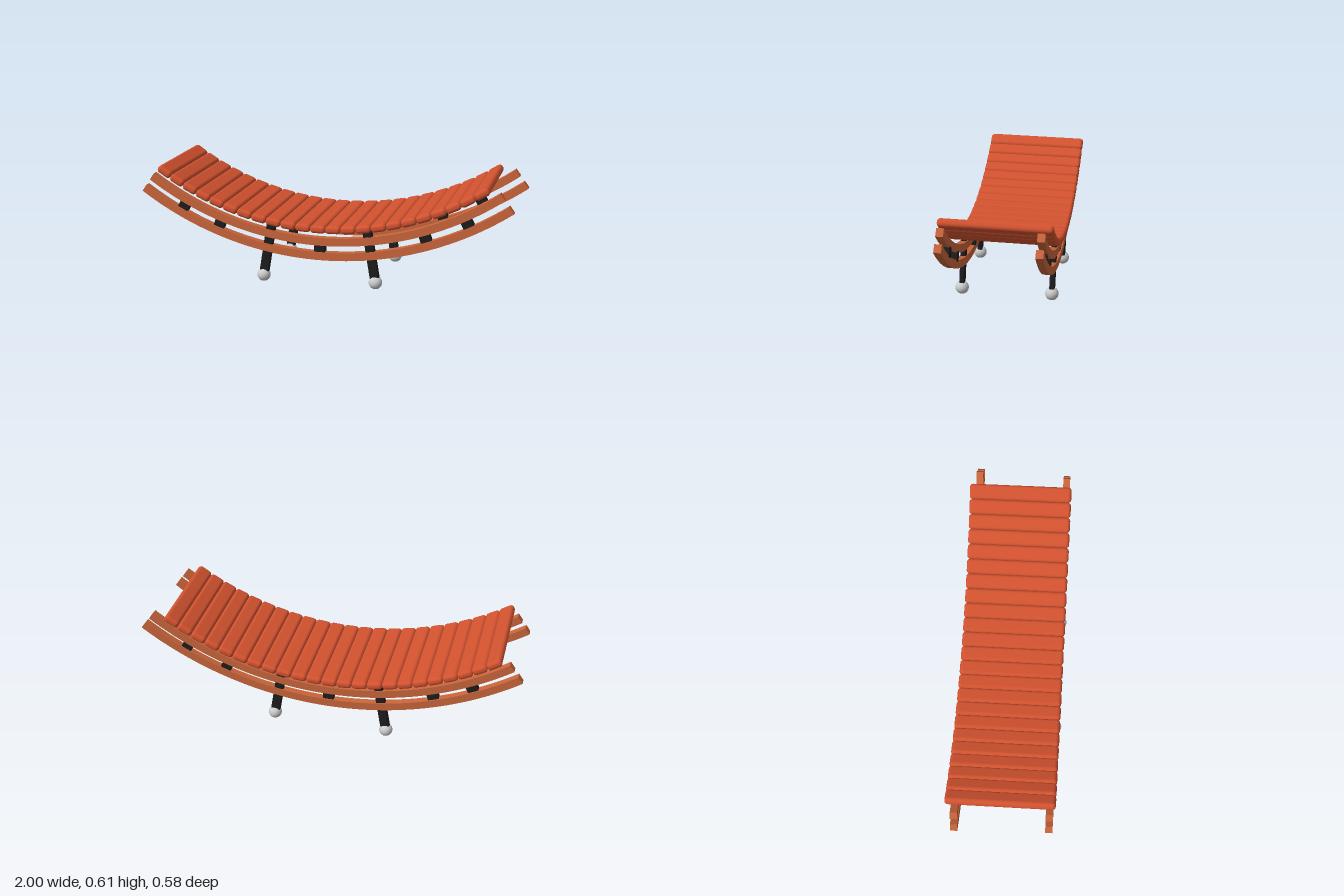
import * as THREE from 'three';
import { RoundedBoxGeometry } from 'three/addons/geometries/RoundedBoxGeometry.js';
import { toCreasedNormals } from 'three/addons/utils/BufferGeometryUtils.js';

const paint = (color) => new THREE.MeshStandardMaterial({ color });
const slatPaint = paint(0xd2522f);
const railPaint = paint(0xc8643a);
const blackPaint = paint(0x1c1c1c);
const greyPaint = paint(0xcccccc);

// Curved bar of rectangular section, swept about the frame origin
function arcBar(radius, half, thickness, width) {
  const shape = new THREE.Shape();
  const a0 = -Math.PI / 2 - half, a1 = -Math.PI / 2 + half;
  shape.absarc(0, 0, radius + thickness / 2, a0, a1, false);
  shape.absarc(0, 0, radius - thickness / 2, a1, a0, true);
  const geo = new THREE.ExtrudeGeometry(shape, { depth: width, bevelEnabled: false, curveSegments: 40 });
  geo.translate(0, 0, -width / 2);
  return toCreasedNormals(geo, 0.5);
}

export function createModel() {
  const model = new THREE.Group();
  model.name = 'curvedLounger';
  model.rotation.set(-0.027, -0.012, 0);

  // All parts lie on circles around this frame's origin
  const frame = new THREE.Group();
  frame.name = 'frame';
  frame.position.set(-0.025, 1.857, 0);
  frame.rotation.z = 0.016;
  model.add(frame);

  const add = (name, geo, mat, radius = 0, angle = 0, z = 0) => {
    const mesh = new THREE.Mesh(geo, mat);
    mesh.name = name;
    mesh.position.set(radius * Math.sin(angle), -radius * Math.cos(angle), z);
    mesh.rotation.z = angle;
    frame.add(mesh);
  };

  // Padded slats of the seat
  const count = 23, start = -0.612, pitch = 1.2 / count;
  const slat = new RoundedBoxGeometry(0.081, 0.042, 0.545, 3, 0.018);
  for (let i = 0; i < count; i++) {
    add('slat', slat, slatPaint, 1.54, start + (i + 0.5) * pitch);
  }

  const spacer = new THREE.BoxGeometry(0.056, 0.05, 0.032);
  const leg = new RoundedBoxGeometry(0.05, 0.27, 0.028, 2, 0.008);
  const foot = new THREE.SphereGeometry(0.035, 24, 16);

  for (const side of [1, -1]) {
    const z = 0.009 + side * 0.234;
    const half = side > 0 ? 0.614 : 0.626;

    // Pair of rails with spacer blocks between them
    add('upperRail', arcBar(1.605, half, 0.042, 0.036), railPaint, 0, 0, z);
    add('lowerRail', arcBar(1.683, half, 0.042, 0.036), railPaint, 0, 0, z);
    for (const angle of [-0.475, -0.345, -0.007, 0.335, 0.475]) {
      add('spacer', spacer, blackPaint, 1.644, angle, z - side * 0.004);
    }

    // Splayed legs with ball feet
    for (const [angle, footRadius] of [[-0.175, 1.839], [0.155, 1.829]]) {
      add('leg', leg, blackPaint, footRadius - 0.155, angle, z);
      add('foot', foot, greyPaint, footRadius, angle, z);
    }
  }
  return model;
}
